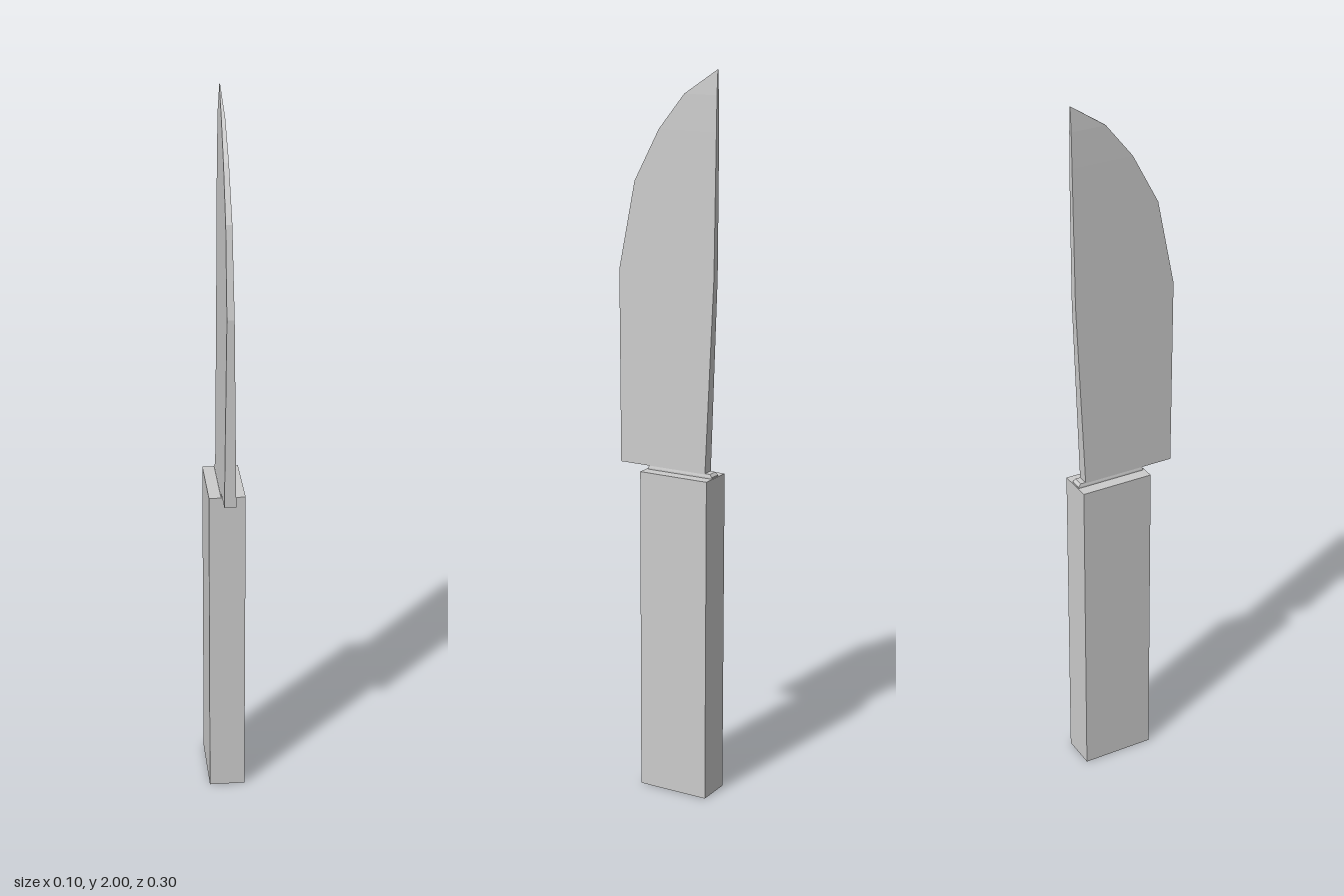
import * as THREE from 'three';

const material = new THREE.MeshStandardMaterial({ color: 0xcccccc, flatShading: true });

// Lofts rectangular sections [y, frontZ, backZ, halfWidth] into a closed solid
function loft(sections) {
  const points = [], index = [];
  for (const [y, front, back, w] of sections) {
    points.push(-w, y, front, w, y, front, w, y, back, -w, y, back);
  }
  for (let s = 0; s < sections.length - 1; s++) {
    for (let i = 0; i < 4; i++) {
      const a = s * 4 + i, b = s * 4 + (i + 1) % 4;
      index.push(a, b, b + 4, a, b + 4, a + 4);
    }
  }
  const t = (sections.length - 1) * 4;
  index.push(0, 3, 2, 0, 2, 1, t, t + 1, t + 2, t, t + 2, t + 3);
  const indexed = new THREE.BufferGeometry();
  indexed.setAttribute('position', new THREE.Float32BufferAttribute(points, 3));
  indexed.setIndex(index);
  const geometry = indexed.toNonIndexed();
  geometry.computeVertexNormals();
  return geometry;
}

export function createModel() {
  const group = new THREE.Group();
  const add = (name, geometry) => {
    const mesh = new THREE.Mesh(geometry, material);
    mesh.name = name;
    group.add(mesh);
    return mesh;
  };

  // Plain block handle
  add('handle', new THREE.BoxGeometry(0.1, 0.916, 0.207)).position.set(0, 0.458, -0.0435);

  // Thin tang joining the blade to the handle
  add('tang', loft([
    [0.9, 0.055, -0.145, 0.017],
    [0.92, 0.055, -0.145, 0.017],
    [0.928, 0.05, -0.138, 0.015],
  ]));

  // Blade thins upward while its belly curves back to the tip on the spine
  add('blade', loft([
    [0.926, 0.142, -0.123, 0.016],
    [1.46, 0.148, -0.144, 0.01],
    [1.7, 0.1, -0.146, 0.0085],
    [1.84, 0.026, -0.147, 0.007],
    [1.935, -0.05, -0.147, 0.005],
    [2, -0.146, -0.147, 0.001],
  ]));

  return group;
}
